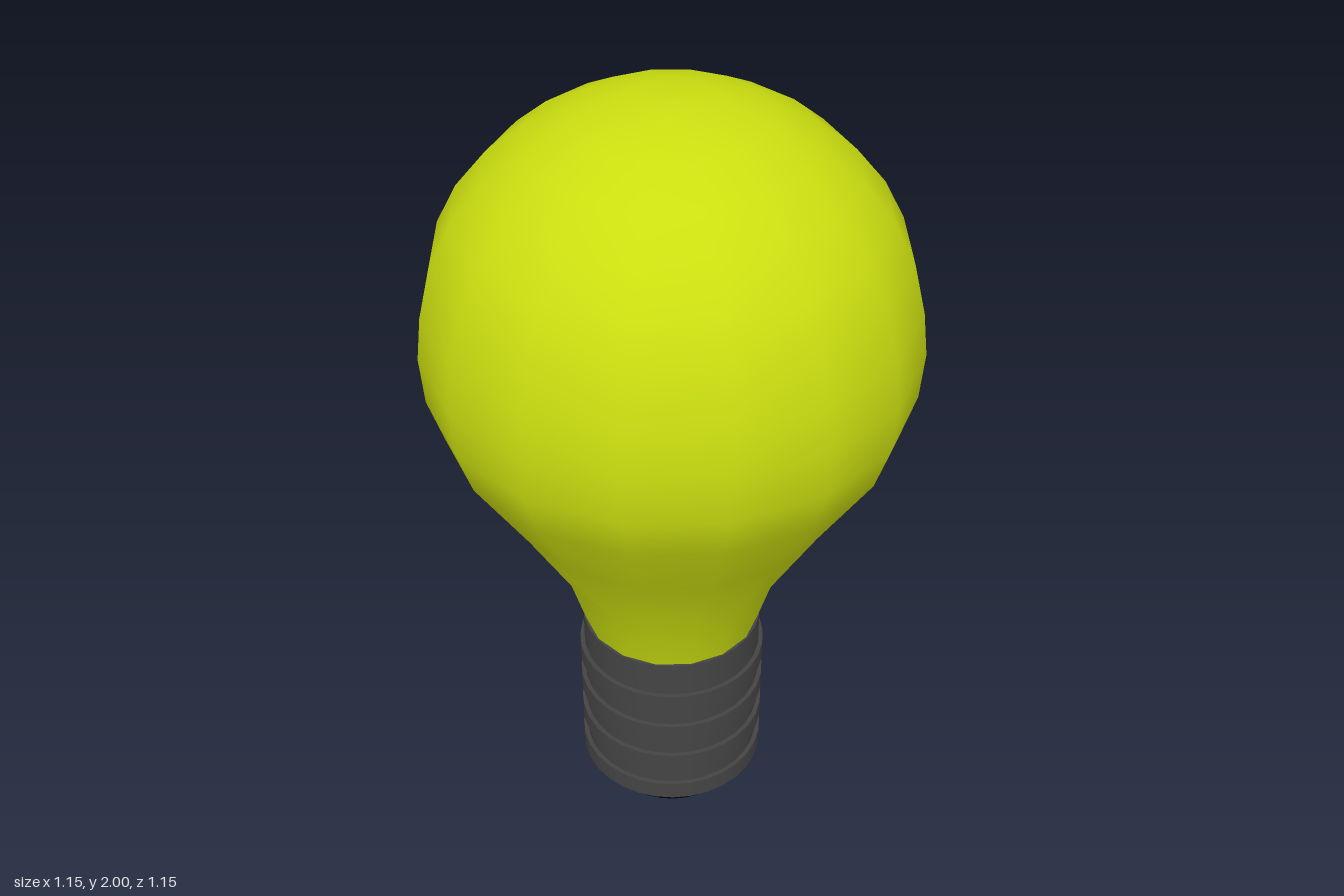
import * as THREE from 'three';

export function createModel() {
  const model = new THREE.Group();
  model.name = 'lightBulb';

  const material = (name, color) => {
    const m = new THREE.MeshStandardMaterial({ color });
    m.name = name;
    return m;
  };
  const glassYellow = material('glassYellow', 0xcbde10);
  const capGrey = material('capGrey', 0x444444);
  const contactBlack = material('contactBlack', 0x090909);

  const add = (name, geometry, mat, y = 0) => {
    const mesh = new THREE.Mesh(geometry, mat);
    mesh.name = name;
    mesh.position.y = y;
    model.add(mesh);
  };
  const lathe = (points, sides) =>
    new THREE.LatheGeometry(points.map(([r, y]) => new THREE.Vector2(r, y)), sides);

  // Glass: flared neck running into a round crown
  add('glassBulb', lathe([
    [0.22, 0.595], [0.275, 0.78], [0.4, 1.0], [0.53, 1.21], [0.565, 1.32],
    [0.573, 1.435], [0.56, 1.54], [0.53, 1.66], [0.48, 1.755], [0.41, 1.84],
    [0.325, 1.91], [0.22, 1.965], [0.11, 1.993], [0, 2.0],
  ], 16), glassYellow);

  // Screw cap: sleeve with four raised thread bands
  add('capSleeve', new THREE.CylinderGeometry(0.225, 0.225, 0.46, 32), capGrey, 0.37);
  for (let i = 0; i < 4; i++) {
    add('threadBand' + (i + 1),
      new THREE.CylinderGeometry(0.236, 0.236, 0.05, 32), capGrey, 0.163 + i * 0.1055);
  }

  // Rounded contact at the foot
  add('contactTip', lathe([
    [0, 0], [0.05, 0.003], [0.11, 0.025], [0.175, 0.065], [0.218, 0.14],
  ], 32), contactBlack);

  return model;
}
